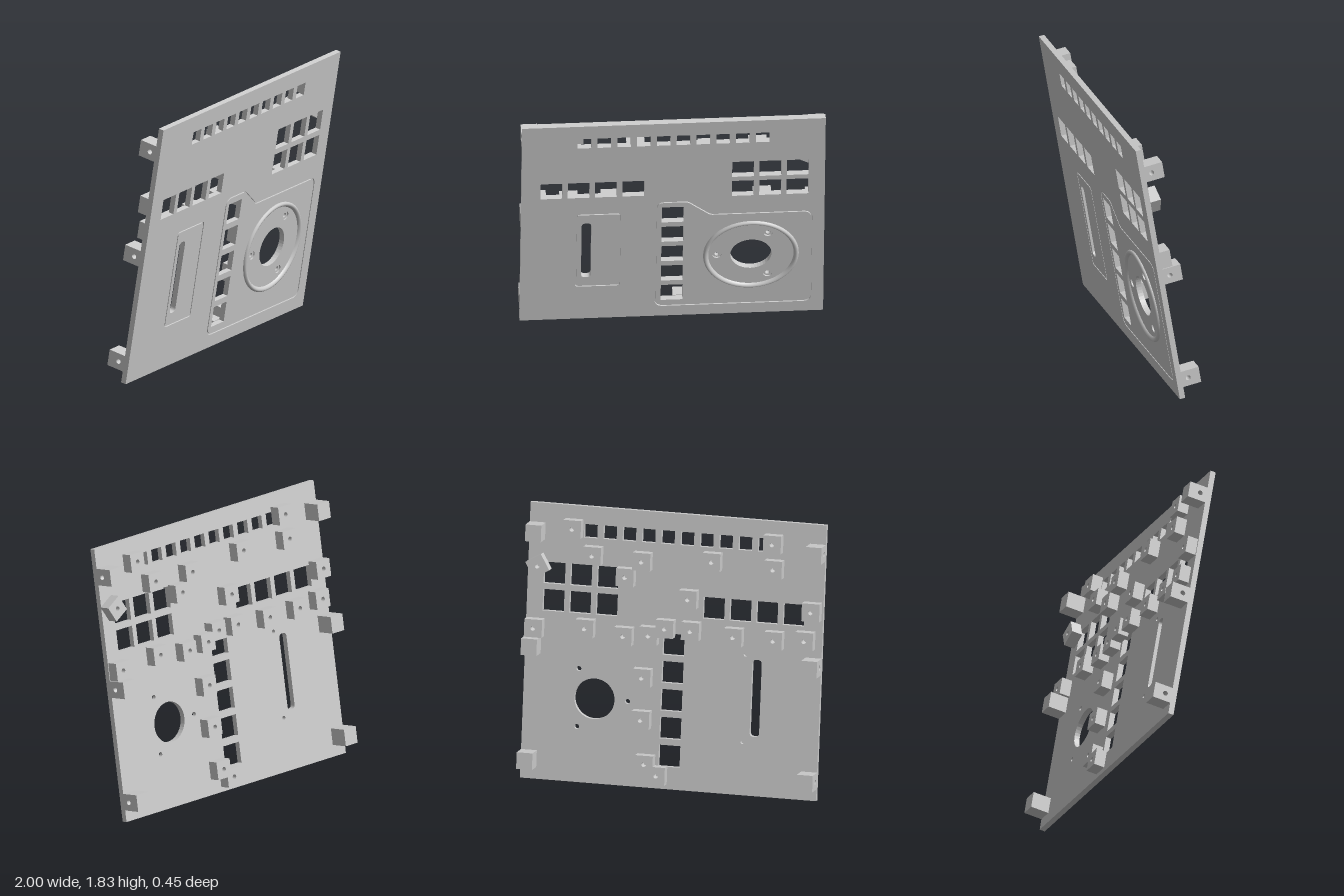
import * as THREE from 'three';

const TILT = THREE.MathUtils.degToRad(9.56);
const LENGTH = 1.846, THICK = 0.0375, SKIN = 0.01;
const JOG = { x: 0.519, y: 0.565 };
const grey = new THREE.MeshStandardMaterial({ color: 0xcccccc, side: THREE.DoubleSide });

// Rounded polygon from counter-clockwise corners, optionally inset
function outline(corners, radius = 0, inset = 0, Type = THREE.Path) {
  const p = corners.map(c => new THREE.Vector2(...c));
  const n = p.length;
  const dir = p.map((a, i) => p[(i + 1) % n].clone().sub(a).normalize());
  const path = new Type();
  p.forEach((a, i) => {
    const d1 = dir[(i + n - 1) % n], d2 = dir[i];
    const k = inset / (1 + d1.dot(d2));
    const c = new THREE.Vector2(a.x - (d1.y + d2.y) * k, a.y + (d1.x + d2.x) * k);
    const t = radius * Math.tan(Math.acos(THREE.MathUtils.clamp(d1.dot(d2), -1, 1)) / 2);
    const s = c.clone().addScaledVector(d1, -t), e = c.clone().addScaledVector(d2, t);
    if (i === 0) path.moveTo(s.x, s.y); else path.lineTo(s.x, s.y);
    if (radius > 0) path.quadraticCurveTo(c.x, c.y, e.x, e.y);
  });
  path.closePath();
  return path;
}

const box = (x0, y0, x1, y1) => [[x0, y0], [x1, y0], [x1, y1], [x0, y1]];
const square = (x, y, s) => outline(box(x - s / 2, y - s / 2, x + s / 2, y + s / 2));
const circle = (x, y, r) => new THREE.Path().absarc(x, y, r, 0, Math.PI * 2, true);

// Extrude a shape so that it fills z from back to front
function slab(name, shape, holes, back, front) {
  shape.holes.push(...holes);
  const geo = new THREE.ExtrudeGeometry(shape, { depth: front - back, bevelEnabled: false, curveSegments: 20 });
  geo.translate(0, 0, back);
  const mesh = new THREE.Mesh(geo, grey);
  mesh.name = name;
  return mesh;
}

export function createModel() {
  const model = new THREE.Group();
  model.name = 'controlPanel';
  const panel = new THREE.Group();
  panel.name = 'tiltedPanel';
  panel.rotation.x = TILT;
  panel.position.z = -0.106;
  model.add(panel);

  // Button openings
  const buttons = () => {
    const list = [];
    for (let i = 0; i < 10; i++) list.push(square(-0.588 + i * 0.1305, 1.682, 0.09));
    for (let i = 0; i < 4; i++) list.push(square(-0.802 + i * 0.18, 1.232, 0.144));
    for (let i = 0; i < 3; i++)
      for (const y of [1.383, 1.2]) list.push(square(0.46 + i * 0.18, y, 0.144));
    return list;
  };
  const column = () => [0, 1, 2, 3, 4].map(i => square(0, 0.222 + i * 0.1866, 0.144));
  const slot = () => outline(box(-0.599, 0.396, -0.535, 0.912), 0.029);
  const screws = r => [60, 180, 300].map(a => {
    const t = THREE.MathUtils.degToRad(a);
    return circle(JOG.x + 0.224 * Math.cos(t), JOG.y + 0.224 * Math.sin(t), r);
  });
  const wheelHole = () => circle(JOG.x, JOG.y, 0.136);
  const sliderBlind = [circle(-0.489, 0.941, 0.014), circle(-0.49, 0.356, 0.014)];

  const face = () => outline(box(-1, 0, 1, LENGTH), 0, 0, THREE.Shape);
  const jogArea = [[-0.112, 0.092], [0.92, 0.092], [0.92, 0.961], [0.25, 0.961], [0.1, 1.091], [-0.112, 1.091]];
  const sliderArea = box(-0.638, 0.306, -0.342, 0.999);
  const GROOVE = 0.008;

  // Base plate, and a front skin split by shallow grooves
  panel.add(
    slab('basePlate', face(), [...buttons(), ...column(), slot(), ...screws(0.016), wheelHole(), ...sliderBlind],
      -THICK, -SKIN),
    slab('frontSkin', face(), [...buttons(), outline(jogArea, 0.06), outline(sliderArea, 0.025)], -SKIN, 0),
    slab('wheelField', outline(jogArea, 0.055, GROOVE, THREE.Shape),
      [...column(), ...screws(0.029), wheelHole()], -SKIN, 0),
    slab('sliderField', outline(sliderArea, 0.02, GROOVE, THREE.Shape), [slot()], -SKIN, 0));

  // Raised ring round the wheel opening
  const profile = [[0.315, -0.002], [0.315, 0.007], [0.309, 0.015], [0.3, 0.018], [0.291, 0.014], [0.284, 0.006], [0.28, -0.002]];
  const ring = new THREE.Mesh(
    new THREE.LatheGeometry(profile.map(q => new THREE.Vector2(...q)), 72).rotateX(Math.PI / 2), grey);
  ring.name = 'wheelRing';
  ring.position.set(JOG.x, JOG.y, 0);
  panel.add(ring);

  // Screw bosses on the back: x, y
  const bosses = [
    [0.698, 1.697], [0.557, 1.529], [0.223, 1.516], [0.331, 1.403], [-0.248, 1.551], [-0.653, 1.701],
    [-0.665, 1.533], [-0.098, 1.289], [-0.123, 1.078], [0.051, 1.08], [0.158, 1.026], [0.329, 1.008],
    [0.59, 1.04], [0.935, 1.016], [-0.412, 1.06], [-0.684, 1.058], [-0.93, 1.268], [-0.893, 1.072],
    [0.192, 0.741], [0.189, 0.459], [0.154, 0.165], [0.07, 0.0945], [0.922, 1.433, -0.53],
  ];
  for (const [x, y, turn = 0] of bosses) {
    const shape = outline(box(-0.06, -0.06, 0.06, 0.06), 0, 0, THREE.Shape);
    const boss = slab('screwBoss', shape, [circle(0, 0, 0.016)], -THICK - 0.073, -THICK);
    boss.position.set(x, y, 0);
    boss.rotation.z = turn;
    panel.add(boss);
  }

  // Side mounting blocks, each with a blind hole in its outer face
  for (const side of [-1, 1]) {
    for (const y of [0.135, 0.898, 1.66]) {
      const block = new THREE.Group();
      block.name = 'sideBlock';
      const shape = outline(box(-0.082, -0.056, 0.044, 0.056), 0, 0, THREE.Shape);
      const outer = slab('blockOuter', shape, [circle(0, 0, 0.017)], -0.07, 0);
      const inner = new THREE.Mesh(new THREE.BoxGeometry(0.126, 0.112, 0.037), grey);
      inner.name = 'blockInner';
      inner.position.set(-0.019, 0, -0.0885);
      // Keep the deep end pointing backwards on both sides
      if (side < 0) {
        outer.geometry.rotateZ(Math.PI);
        inner.position.x *= -1;
      }
      block.add(outer, inner);
      block.rotation.y = side * Math.PI / 2;
      block.position.set(side, y, -THICK - 0.044);
      // Local x maps to -z on the left side and +z on the right
      block.scale.x = -1;
      panel.add(block);
    }
  }
  return model;
}
